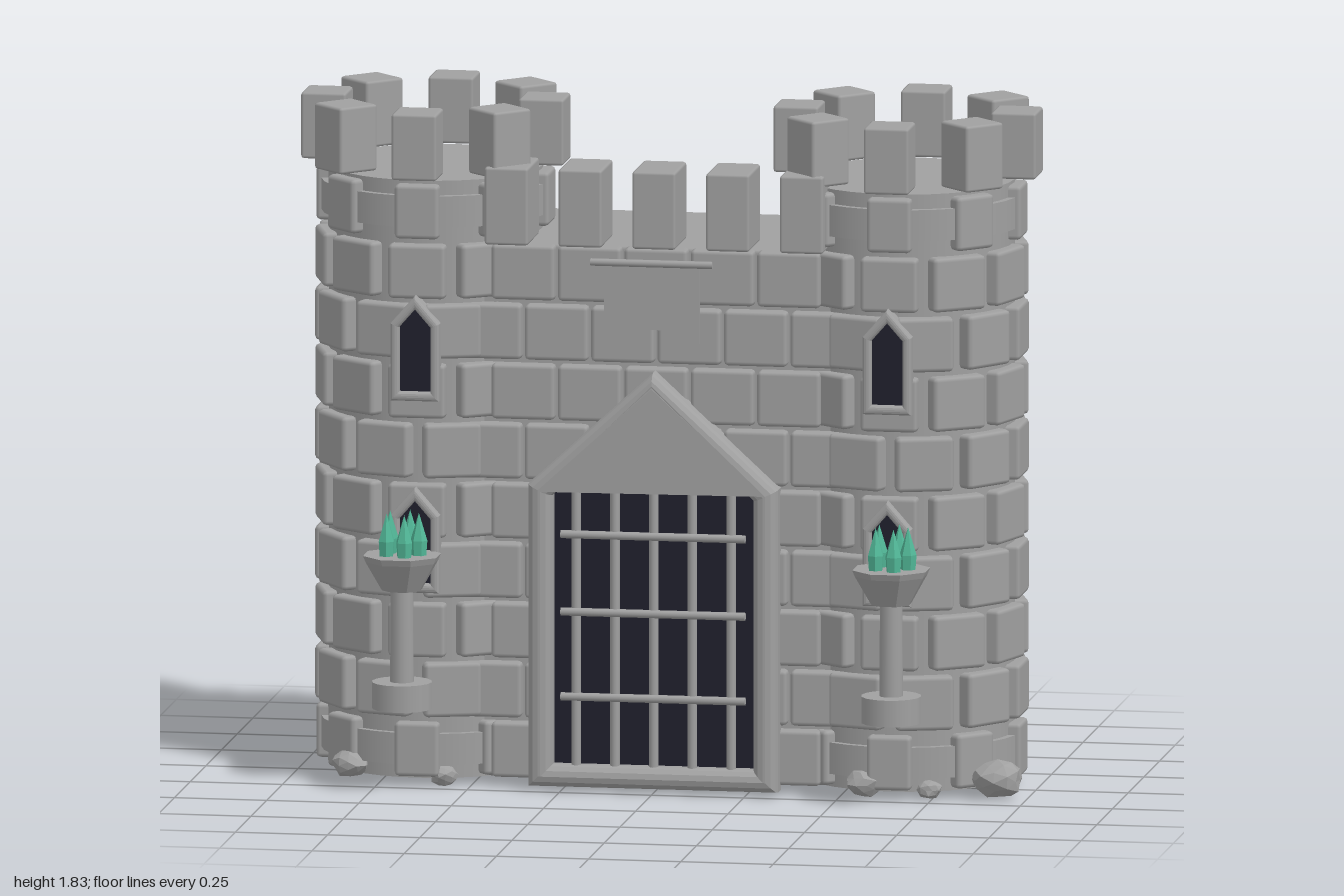
import * as THREE from 'three';
import { RoundedBoxGeometry } from 'three/addons/geometries/RoundedBoxGeometry.js';

const material = (name, color, flatShading = false) => {
  const m = new THREE.MeshStandardMaterial({ color, flatShading });
  m.name = name;
  return m;
};

export function createModel() {
  const castle = new THREE.Group();
  castle.name = 'castleGate';
  const stone = material('stone', 0xa0a0a0);
  const dark = material('darkOpening', 0x20202c);
  const green = material('greenCrystal', 0x52b898);

  const add = (parent, name, geo, mat, x = 0, y = 0, z = 0, ry = 0) => {
    const m = new THREE.Mesh(geo, mat);
    m.name = name;
    m.position.set(x, y, z);
    m.rotation.y = ry;
    parent.add(m);
    return m;
  };
  const box = (w, h, d, r = 0.012) => new RoundedBoxGeometry(w, h, d, 1, r);
  const cyl = (rt, rb, h, n = 16) => new THREE.CylinderGeometry(rt, rb, h, n);
  const faceted = (geo) => {
    const g = geo.toNonIndexed();
    g.computeVertexNormals();
    return g;
  };

  // Pointed arch outline: half width, bottom, shoulder, apex
  const arch = (w, y0, ys, ya, Type = THREE.Shape) => new Type(
    [[-w, y0], [w, y0], [w, ys], [0, ya], [-w, ys]].map(p => new THREE.Vector2(...p)));
  const archFrame = (outer, inner, depth, bevel) => {
    const s = arch(...outer);
    s.holes.push(arch(...inner, THREE.Path));
    return new THREE.ExtrudeGeometry(s, {
      depth: depth - 2 * bevel, bevelSize: bevel, bevelThickness: bevel,
      bevelOffset: -bevel, bevelSegments: 3,
    }).translate(0, 0, bevel);
  };
  const plate = (shape) => new THREE.ExtrudeGeometry(shape, { depth: 0.008, bevelEnabled: false });

  const ROW = 0.162, TZ = -0.08;

  // Towers
  const towerStone = box(0.155, 0.147, 0.07);
  const endStone = box(0.12, 0.147, 0.07);
  const towerMerlon = box(0.122, 0.18, 0.122, 0.008);
  const windowFrame = archFrame([0.066, -0.14, 0.07, 0.145], [0.042, -0.115, 0.06, 0.108], 0.06, 0.01);
  const windowPane = plate(arch(0.05, -0.125, 0.065, 0.12));
  for (const side of [-1, 1]) {
    const tower = new THREE.Group();
    tower.name = side > 0 ? 'leftTower' : 'rightTower';
    tower.position.set(side * 0.64, 0, TZ);
    castle.add(tower);
    add(tower, 'towerCore', cyl(0.288, 0.288, 1.62, 32), stone, 0, 0.84, 0);
    for (let row = 0; row < 10; row++) {
      const end = row === 0 || row === 9;
      const n = end ? 8 : 10;
      const y = 0.11 + row * ROW;
      if (end) add(tower, 'towerBand', cyl(0.306, 0.306, 0.085, 32), stone, 0, y, 0);
      for (let i = 0; i < n; i++) {
        const a = ((i + (!end && row % 2 ? 0.5 : 0)) / n) * Math.PI * 2;
        add(tower, 'towerStone', end ? endStone : towerStone, stone,
          Math.sin(a) * 0.281, y, Math.cos(a) * 0.281, a);
      }
    }
    for (let i = 0; i < 8; i++) {
      const a = i * Math.PI / 4;
      add(tower, 'towerMerlon', towerMerlon, stone, Math.sin(a) * 0.295, 1.75, Math.cos(a) * 0.295, a);
    }
    for (const y of [1.2, 0.68]) {
      add(tower, 'windowFrame', windowFrame, stone, 0, y, 0.285);
      add(tower, 'windowPane', windowPane, dark, 0, y, 0.317);
    }
  }

  // Wall between the towers
  add(castle, 'wall', box(1.02, 1.45, 0.55), stone, 0, 0.755, -0.125);
  const wallStone = box(0.172, 0.15, 0.07);
  for (let row = 0; row < 9; row++) {
    const y = 0.033 + row * ROW, shift = row % 2 ? 0.09 : 0;
    for (let i = -3; i <= 3; i++) {
      const x = i * 0.18 + shift;
      if (Math.abs(x) > 0.5) continue;
      if (Math.abs(x) < 0.2 && y < 0.75) continue; // kept clear for the gate
      add(castle, 'wallStone', wallStone, stone, x, y + 0.075, 0.15);
    }
  }
  const wallMerlon = box(0.118, 0.21, 0.185, 0.008);
  for (let i = -2; i <= 2; i++) add(castle, 'wallMerlon', wallMerlon, stone, i * 0.2, 1.587, 0.122);

  // Gate with portcullis
  const gate = new THREE.Group();
  gate.name = 'gate';
  castle.add(gate);
  add(gate, 'gateFrame', archFrame([0.338, 0.02, 0.84, 1.15], [0.272, 0.08, 0.81, 1.075], 0.11, 0.03), stone, 0, 0, 0.14);
  add(gate, 'gateOpening', plate(arch(0.3, 0.05, 0.825, 1.11)), dark, 0, 0, 0.188);
  for (let i = -2; i <= 2; i++) {
    const top = 0.95 - Math.abs(i) * 0.05;
    add(gate, 'verticalBar', cyl(0.013, 0.013, top - 0.07, 10), stone, i * 0.105, (top + 0.07) / 2, 0.212);
  }
  for (const y of [0.265, 0.495, 0.705]) {
    add(gate, 'crossBar', cyl(0.011, 0.011, 0.5, 10), stone, 0, y, 0.222).rotation.z = Math.PI / 2;
  }

  // Banner with a curved lower edge, hung from a rod
  const cloth = new THREE.Shape();
  cloth.moveTo(-0.13, 0.21);
  cloth.lineTo(-0.13, 0);
  cloth.quadraticCurveTo(0, 0.07, 0.13, 0);
  cloth.lineTo(0.13, 0.21);
  add(castle, 'banner', plate(cloth), stone, 0, 1.235, 0.235);
  add(castle, 'bannerRod', cyl(0.01, 0.01, 0.33, 10), stone, 0, 1.45, 0.247).rotation.z = Math.PI / 2;

  // Braziers with crystals
  const bowl = faceted(new THREE.LatheGeometry(
    [[0, 0.555], [0.055, 0.56], [0.1, 0.638], [0.107, 0.655], [0, 0.655]].map(p => new THREE.Vector2(...p)), 8));
  const crystal = faceted(new THREE.LatheGeometry(
    [[0, 0], [0.02, 0.01], [0.023, 0.05], [0, 0.125]].map(p => new THREE.Vector2(...p)), 6));
  for (const side of [-1, 1]) {
    const brazier = new THREE.Group();
    brazier.name = 'brazier';
    brazier.position.set(side * 0.663, 0, 0.325);
    castle.add(brazier);
    add(brazier, 'brazierBase', cyl(0.081, 0.081, 0.072, 16), stone, 0, 0.275, 0);
    add(brazier, 'brazierColumn', cyl(0.03, 0.032, 0.27, 14), stone, 0, 0.435, 0);
    add(brazier, 'brazierBowl', bowl, stone, 0, 0, 0, Math.PI / 8);
    for (let i = 0; i < 5; i++) {
      const a = (i / 5) * Math.PI * 2 + 0.3;
      add(brazier, 'crystal', crystal, green, Math.sin(a) * 0.046, 0.645, Math.cos(a) * 0.046, a);
    }
  }

  // Loose rocks at the foot of the walls
  const rockGeo = new THREE.IcosahedronGeometry(1, 1);
  const p = rockGeo.attributes.position;
  for (let i = 0; i < p.count; i++) {
    const k = 1 + 0.1 * Math.sin(p.getX(i) * 5 + p.getY(i) * 7 + p.getZ(i) * 3);
    p.setXYZ(i, p.getX(i) * k, p.getY(i) * k, p.getZ(i) * k);
  }
  rockGeo.computeVertexNormals();
  const rocks = [[0.92, 0.06, 0.14, 0.068], [0.57, 0.05, 0.2, 0.052], [-0.83, 0.055, 0.16, 0.05],
    [-0.57, 0.035, 0.19, 0.038], [0.74, 0.035, 0.18, 0.035], [0.8, 0.04, -0.08, 0.035]];
  rocks.forEach(([x, y, z, r], i) => {
    add(castle, 'rock', rockGeo, stone, x, y, z, i * 1.3).scale.set(r, r * 0.75, r);
  });

  return castle;
}
